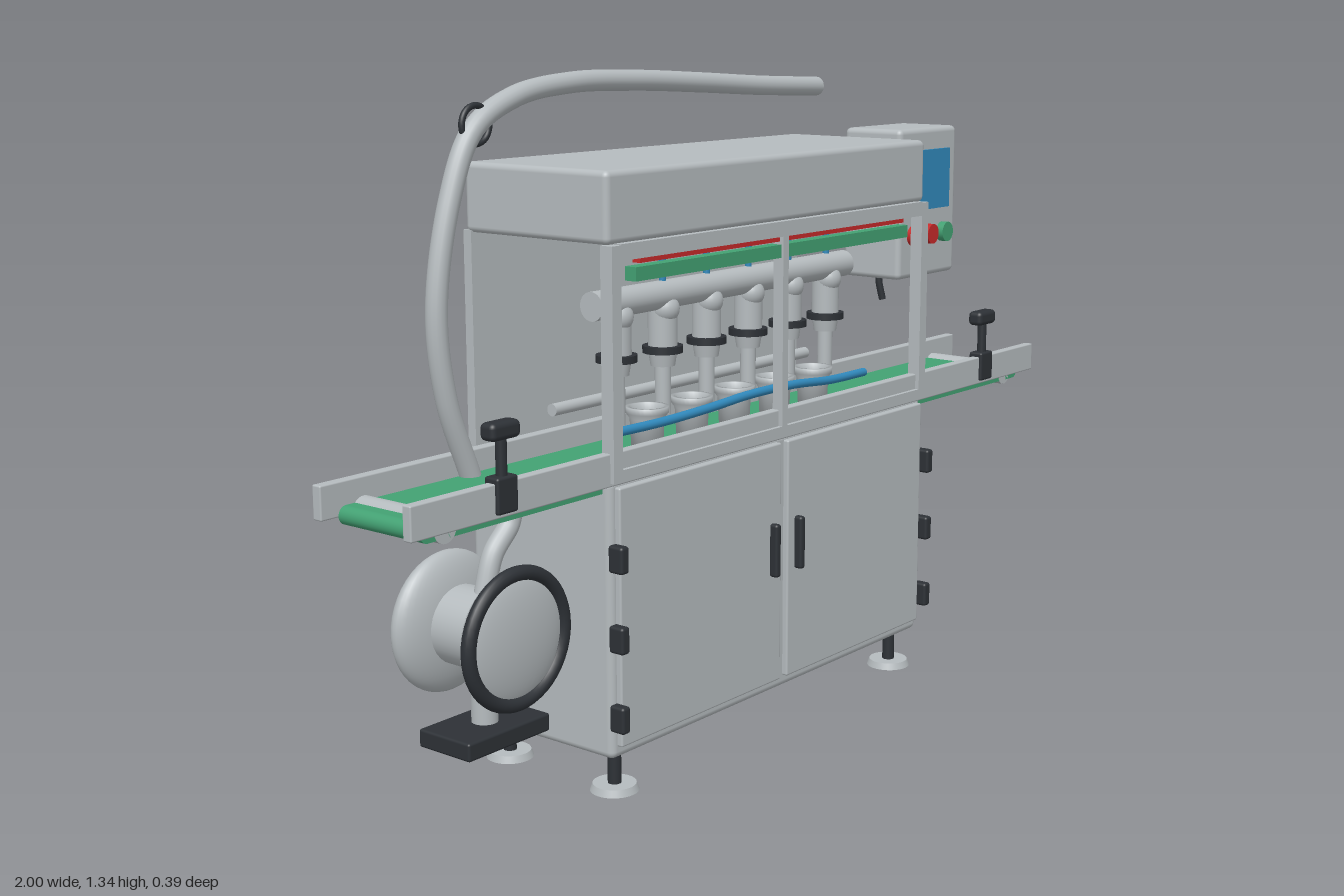
import * as THREE from 'three';
import { RoundedBoxGeometry } from 'three/addons/geometries/RoundedBoxGeometry.js';

function material(name, color) {
  const m = new THREE.MeshStandardMaterial({ color });
  m.name = name;
  return m;
}

export function createModel() {
  const root = new THREE.Group();
  root.name = 'fillingMachine';
  const steel = material('steel', 0xb5bbbe);
  const dark = material('darkRubber', 0x2d3136);
  const green = material('green', 0x43a173);
  const blue = material('blue', 0x3189bc);
  const red = material('red', 0xc62a2a);

  // Helpers
  const add = (name, geo, mat, x = 0, y = 0, z = 0) => {
    const m = new THREE.Mesh(geo, mat);
    m.name = name;
    m.position.set(x, y, z);
    root.add(m);
    return m;
  };
  // Box given by its limits on each axis, with optional rounded edges
  const box = (name, mat, x0, x1, y0, y1, z0, z1, r = 0) => {
    const s = [x1 - x0, y1 - y0, z1 - z0];
    const geo = r ? new RoundedBoxGeometry(...s, 3, r) : new THREE.BoxGeometry(...s);
    return add(name, geo, mat, (x0 + x1) / 2, (y0 + y1) / 2, (z0 + z1) / 2);
  };
  // Cylinder centred at a point, along axis x, y or z
  const cyl = (name, mat, axis, r, len, x, y, z, rTop = r) => {
    const geo = new THREE.CylinderGeometry(rTop, r, len, 32);
    if (axis === 'x') geo.rotateZ(-Math.PI / 2);
    if (axis === 'z') geo.rotateX(Math.PI / 2);
    return add(name, geo, mat, x, y, z);
  };
  const tube = (name, mat, pts, r, seg = 80) => {
    const v = pts.map(p => new THREE.Vector3(...p));
    add(name, new THREE.TubeGeometry(new THREE.CatmullRomCurve3(v), seg, r, 16), mat);
    for (const [p, q] of [[v[0], v[1]], [v[v.length - 1], v[v.length - 2]]]) {
      const cap = add(name + 'End', new THREE.CircleGeometry(r, 16), mat, p.x, p.y, p.z);
      cap.lookAt(p.clone().multiplyScalar(2).sub(q));
    }
  };

  // Cabinet, rear panel and hood
  box('cabinet', steel, -0.515, 0.515, 0.08, 0.613, -0.19, 0.165, 0.014);
  box('rearPanel', steel, -0.515, 0.515, 0.605, 1.045, -0.194, -0.174);
  box('hood', steel, -0.515, 0.515, 1.04, 1.172, -0.19, 0.165, 0.012);

  // Front window frame
  for (const s of [-1, 1]) {
    cyl('feetSpindleFront', dark, 'y', 0.013, 0.075, s * 0.465, 0.05, 0.125);
    cyl('feetSpindleRear', dark, 'y', 0.013, 0.075, s * 0.465, 0.05, -0.15);
    for (const z of [0.125, -0.15]) cyl('footPad', steel, 'y', 0.047, 0.014, s * 0.465, 0.007, z, 0.042);
    box('framePost', steel, s * 0.5025 - 0.0125, s * 0.5025 + 0.0125, 0.61, 1.04, 0.148, 0.176);

    // Doors with handles and hinges
    box('door', steel, s * 0.256 - 0.245, s * 0.256 + 0.245, 0.105, 0.6, 0.16, 0.177, 0.004);
    box('doorHandle', dark, s * 0.041 - 0.008, s * 0.041 + 0.008, 0.33, 0.44, 0.174, 0.195, 0.006);
    for (const y of [0.165, 0.318, 0.47])
      box('hinge', dark, s * 0.51 - 0.011, s * 0.51 + 0.011, y - 0.026, y + 0.026, 0.163, 0.198, 0.006);

    // Conveyor ends and rail clamps
    cyl('beltEnd', green, 'z', 0.017, 0.2, s * 0.945, 0.605, 0.047);
    cyl('crossBar', steel, 'z', 0.026, 0.2, s * 0.905, 0.605, 0.047);
    box('clampBlock', dark, s * 0.782 - 0.025, s * 0.782 + 0.025, 0.61, 0.675, 0.14, 0.174, 0.005);
    cyl('clampStem', dark, 'y', 0.01, 0.08, s * 0.782, 0.705, 0.158);
    box('clampKnob', dark, s * 0.782 - 0.035, s * 0.782 + 0.035, 0.738, 0.77, 0.14, 0.175, 0.01);
  }
  box('frameTop', steel, -0.49, 0.49, 1.012, 1.042, 0.148, 0.176);
  box('frameBottom', steel, -0.49, 0.49, 0.61, 0.632, 0.148, 0.176);
  box('frameMiddle', steel, -0.009, 0.009, 0.632, 1.012, 0.152, 0.176);

  // Conveyor
  box('belt', green, -0.945, 0.945, 0.588, 0.622, -0.053, 0.147);
  box('frontRail', steel, -1, 1, 0.603, 0.665, 0.147, 0.167, 0.003);
  box('rearRail', steel, -1, 1, 0.603, 0.665, -0.074, -0.053, 0.003);
  cyl('guideRod', steel, 'x', 0.012, 0.82, 0, 0.698, -0.074);

  // Light bar behind the window frame
  box('greenBar', green, -0.445, 0.442, 0.97, 0.996, 0.145, 0.171);
  box('redStrip', red, -0.43, 0.43, 1.002, 1.012, 0.15, 0.168);

  // Manifold and nozzles
  cyl('manifold', steel, 'x', 0.028, 0.815, -0.002, 0.907, 0.03);
  for (let i = 0; i < 6; i++) {
    const x = -0.34 + i * 0.136;
    cyl('feedPeg', blue, 'y', 0.007, 0.11, x, 0.985, 0.03);
    cyl('nozzleBody', steel, 'y', 0.029, 0.08, x, 0.845, 0.03);
    add('nozzleShoulder', new THREE.SphereGeometry(0.029, 24, 16), steel, x, 0.88, 0.036);
    cyl('nozzleRing', dark, 'y', 0.04, 0.014, x, 0.801, 0.03);
    cyl('nozzleNeck', steel, 'y', 0.024, 0.03, x, 0.783, 0.03, 0.029);
    cyl('spout', steel, 'y', 0.016, 0.1, x, 0.722, 0.03);
  }

  // Cups standing on the belt
  const cupProfile = [[0, 0], [0.031, 0], [0.034, 0.055], [0.042, 0.066], [0.042, 0.078],
    [0.034, 0.078], [0.03, 0.06], [0.026, 0.01], [0, 0.01]].map(p => new THREE.Vector2(...p));
  for (let i = 0; i < 5; i++)
    add('cup', new THREE.LatheGeometry(cupProfile, 32), steel, -0.272 + i * 0.136, 0.622, 0.047);

  // Blue guide hose
  tube('blueHose', blue, [[-0.41, 0.675, 0.085], [-0.28, 0.675, 0.09], [-0.14, 0.68, 0.093], [0, 0.686, 0.09],
    [0.14, 0.685, 0.092], [0.28, 0.674, 0.088], [0.41, 0.672, 0.085]], 0.009);

  // Control box
  box('controlBox', steel, 0.527, 0.756, 0.86, 1.19, -0.055, 0.094, 0.012);
  box('screen', blue, 0.562, 0.72, 1.01, 1.142, 0.093, 0.1);
  [red, red, green].forEach((mat, i) =>
    cyl('button', mat, 'z', 0.022, 0.02, 0.58 + i * 0.06, 0.955, 0.101));
  tube('controlCable', dark, [[0.612, 0.865, -0.015], [0.612, 0.84, -0.014], [0.618, 0.8, -0.008]], 0.008, 16);

  // Overhead hose with its ring
  tube('overheadHose', steel, [[0.4, 1.285, -0.042], [0.2, 1.293, -0.042], [0, 1.305, -0.042], [-0.2, 1.315, -0.042],
    [-0.38, 1.316, -0.042], [-0.53, 1.295, -0.042], [-0.635, 1.24, -0.042], [-0.695, 1.12, -0.042],
    [-0.733, 0.93, -0.042], [-0.715, 0.77, -0.042], [-0.66, 0.62, -0.042]], 0.02, 120);
  add('hoseRing', new THREE.TorusGeometry(0.034, 0.006, 10, 32), dark, -0.627, 1.25, -0.042);

  // Blower: rear dome, hub, front disc with rubber rim
  const bx = -0.665, by = 0.337;
  add('blowerDome', new THREE.SphereGeometry(0.135, 40, 24), steel, bx, by, -0.108).scale.z = 0.32;
  cyl('blowerHub', steel, 'z', 0.075, 0.17, bx, by, -0.02);
  add('blowerDisc', new THREE.SphereGeometry(0.128, 40, 24), steel, bx, by, 0.06).scale.z = 0.24;
  add('blowerRim', new THREE.TorusGeometry(0.122, 0.014, 14, 48), dark, bx, by, 0.072);
  cyl('blowerStem', steel, 'y', 0.025, 0.16, bx, 0.22, -0.015);
  box('blowerBase', dark, -0.77, -0.56, 0.127, 0.162, -0.08, 0.05, 0.005);
  cyl('blowerBolt', steel, 'y', 0.026, 0.014, bx, 0.122, -0.015);
  tube('blowerPipe', steel, [[-0.665, 0.4, -0.01], [-0.64, 0.475, -0.01], [-0.595, 0.525, -0.01],
    [-0.59, 0.552, -0.012], [-0.625, 0.57, -0.025], [-0.65, 0.6, -0.04]], 0.02, 50);
  const collar = add('pipeCollar', new THREE.TorusGeometry(0.023, 0.006, 10, 24), dark, -0.645, 0.582, -0.035);
  collar.rotation.x = Math.PI / 2;

  return root;
}
